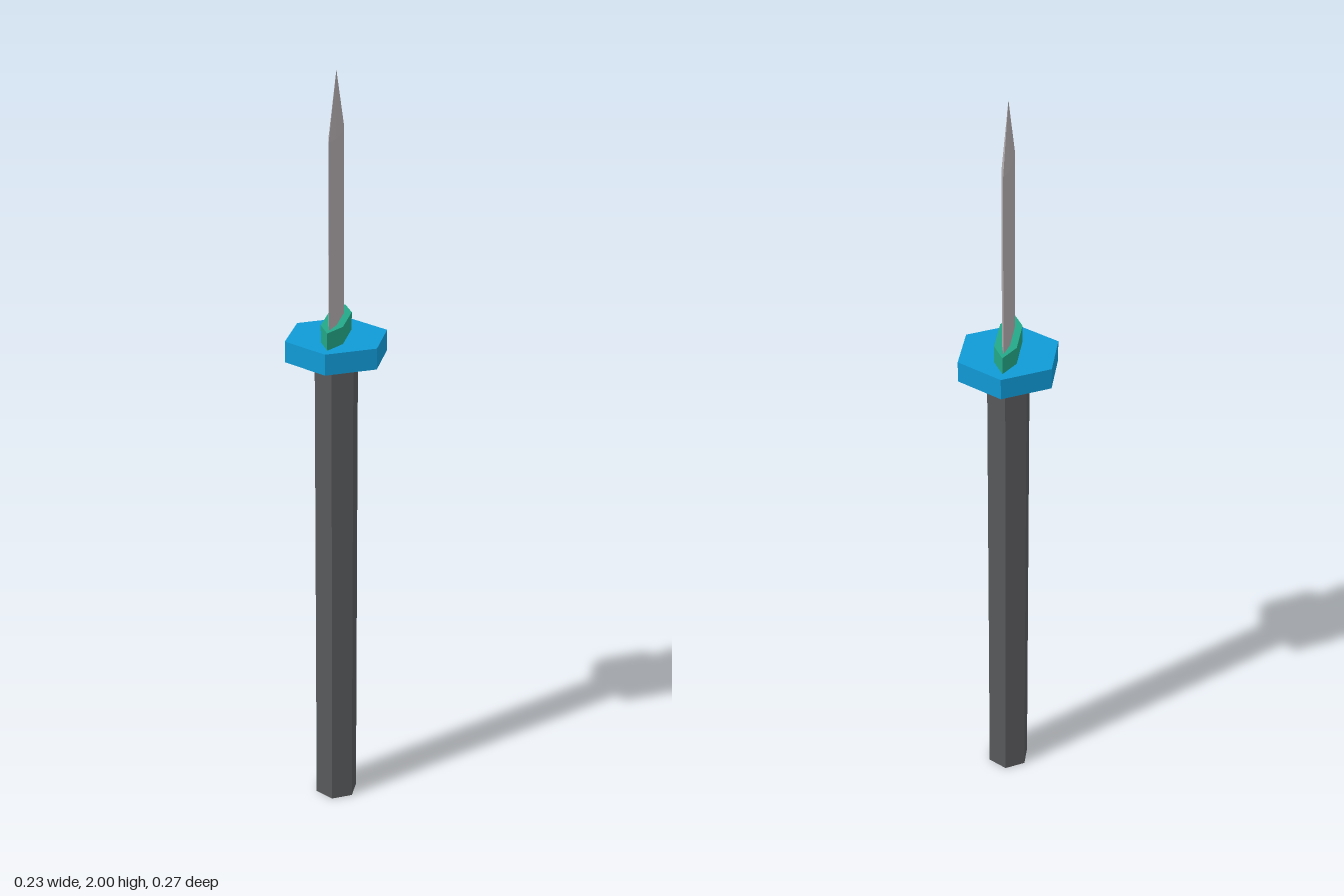
import * as THREE from 'three';

function flat(name, color) {
  const m = new THREE.MeshStandardMaterial({ color, flatShading: true });
  m.name = name;
  return m;
}

export function createModel() {
  const group = new THREE.Group();
  const darkGrey = flat('dark grey grip', 0x58595b);
  const blue = flat('blue guard', 0x109ad6);
  const green = flat('green collar', 0x24a888);
  const steel = flat('pale steel', 0xb3adaf);

  // Six-sided prism with corners on the z axis; xScale flattens it sideways
  function hexPrism(name, material, rTop, rBottom, y0, y1, xScale = 1) {
    const geometry = new THREE.CylinderGeometry(rTop, rBottom, y1 - y0, 6);
    geometry.scale(xScale, 1, 1);
    geometry.translate(0, (y0 + y1) / 2, 0);
    const mesh = new THREE.Mesh(geometry, material);
    mesh.name = name;
    group.add(mesh);
  }

  hexPrism('handle', darkGrey, 0.057, 0.057, 0, 1.275);
  hexPrism('guard', blue, 0.134, 0.134, 1.275, 1.33);
  hexPrism('collar', green, 0.107, 0.107, 1.33, 1.375, 0.302);
  // Thin blade and its pointed tip
  hexPrism('blade', steel, 0.088, 0.088, 1.375, 1.845, 0.131);
  hexPrism('bladeTip', steel, 0, 0.088, 1.845, 2, 0.131);

  return group;
}
